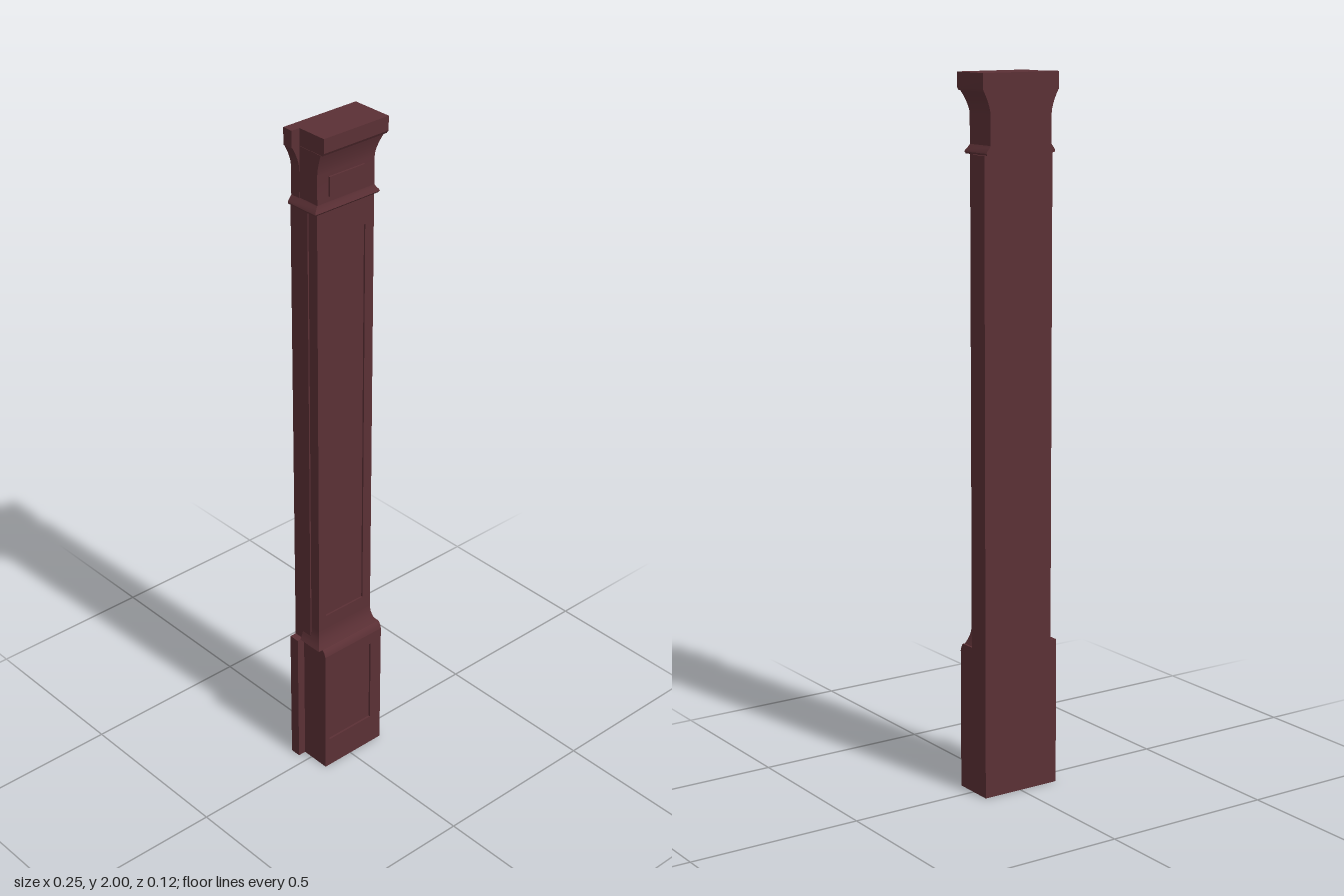
import * as THREE from 'three';
import { toCreasedNormals } from 'three/addons/utils/BufferGeometryUtils.js';

const BACK = -0.062;
const material = new THREE.MeshStandardMaterial({ color: 0x5b3035 });

export function createModel() {
  const group = new THREE.Group();

  const add = (name, geometry) => {
    const mesh = new THREE.Mesh(geometry, material);
    mesh.name = name;
    group.add(mesh);
  };

  // Box given by its limits
  const block = (name, x0, x1, y0, y1, z0, z1) => {
    const g = new THREE.BoxGeometry(x1 - x0, y1 - y0, z1 - z0);
    g.translate((x0 + x1) / 2, (y0 + y1) / 2, (z0 + z1) / 2);
    add(name, g);
  };

  // Moulding from stacked rectangles [y, left x, right x, front z]
  const moulding = (name, rings, back = BACK) => {
    const pos = [], idx = [];
    for (const [y, l, r, f] of rings) {
      pos.push(l, y, f, r, y, f, r, y, back, l, y, back);
    }
    for (let i = 0; i < rings.length - 1; i++) {
      for (let k = 0; k < 4; k++) {
        const a = i * 4 + k, b = i * 4 + (k + 1) % 4;
        idx.push(a, b, b + 4, a, b + 4, a + 4);
      }
    }
    const t = (rings.length - 1) * 4;
    idx.push(0, 2, 1, 0, 3, 2, t, t + 1, t + 2, t, t + 2, t + 3);
    const g = new THREE.BufferGeometry();
    g.setAttribute('position', new THREE.Float32BufferAttribute(pos, 3));
    g.setIndex(idx);
    add(name, toCreasedNormals(g, 0.5));
  };

  // Front frame around a sunken panel
  const frame = (name, [x0, x1, y0, y1], [hx0, hx1, hy0, hy1], z, depth) => {
    const rect = (P, a, b, c, d) =>
      new P([[a, c], [b, c], [b, d], [a, d]].map(p => new THREE.Vector2(...p)));
    const s = rect(THREE.Shape, x0, x1, y0, y1);
    s.holes.push(rect(THREE.Path, hx0, hx1, hy0, hy1));
    const g = new THREE.ExtrudeGeometry(s, { depth, bevelEnabled: false });
    g.translate(0, 0, z - depth);
    add(name, g);
  };

  // Plinth with a rebate in its left front corner
  block('plinthBody', -0.098, 0.118, 0, 0.4, BACK, 0.056);
  frame('plinthFrame', [-0.098, 0.118, 0, 0.4], [-0.083, 0.078, 0.095, 0.365], 0.062, 0.006);
  block('plinthBackStrip', -0.122, -0.098, 0, 0.422, BACK, -0.03);
  moulding('plinthShoulder', [
    [0.4, -0.098, 0.118, 0.062], [0.408, -0.098, 0.118, 0.06],
    [0.416, -0.098, 0.118, 0.056], [0.422, -0.098, 0.118, 0.051],
  ]);

  // Concave flare at the foot of the shaft
  const foot = [];
  for (let i = 0; i <= 6; i++) {
    const t = i / 6, out = 0.014 * (1 - t) ** 2;
    foot.push([0.422 + 0.055 * t, -0.098 - out, 0.098 + out, 0.036 + out]);
  }
  moulding('shaftFoot', foot, -0.03);

  // Shaft with a long sunken panel and a stepped right side
  block('shaftBody', -0.098, 0.098, 0.422, 1.785, BACK, 0.031);
  frame('shaftFrame', [-0.098, 0.098, 0.47, 1.785], [-0.072, 0.068, 0.522, 1.706], 0.036, 0.005);
  block('shaftSideStrip', 0.098, 0.118, 0.422, 1.785, BACK, 0.004);
  block('shaftLeftStrip', -0.102, -0.098, 0.422, 1.785, BACK, 0.003);

  // Necking bead below the capital
  moulding('neckBead', [
    [1.785, -0.109, 0.109, 0.04], [1.79, -0.111, 0.111, 0.044],
    [1.795, -0.109, 0.109, 0.042], [1.805, -0.101, 0.101, 0.038],
    [1.81, -0.098, 0.098, 0.037],
  ]);

  // Capital: straight neck flaring out under the top slab
  const flare = [[1.805, 0], [1.89, 0]];
  for (let i = 1; i <= 6; i++) flare.push([1.89 + 0.062 * i / 6, (i / 6) ** 1.6]);
  moulding('capitalNeck', flare.map(([y, t]) => [y, -0.098, 0.098 + 0.021 * t, 0.037 + 0.014 * t]));
  const strip = flare.map(([y, t]) => [y, -0.099 - 0.022 * t, -0.09, -0.03]);
  moulding('capitalBackStrip', strip);
  block('capitalTablet', -0.06, 0.06, 1.825, 1.88, 0.03, 0.042);

  // Top slab, rebated like the plinth
  moulding('topSlab', [
    [1.952, -0.097, 0.12, 0.057], [1.96, -0.097, 0.122, 0.062], [2, -0.097, 0.122, 0.062],
  ]);
  block('topSlabBackStrip', -0.123, -0.097, 1.952, 2, BACK, -0.03);

  return group;
}
